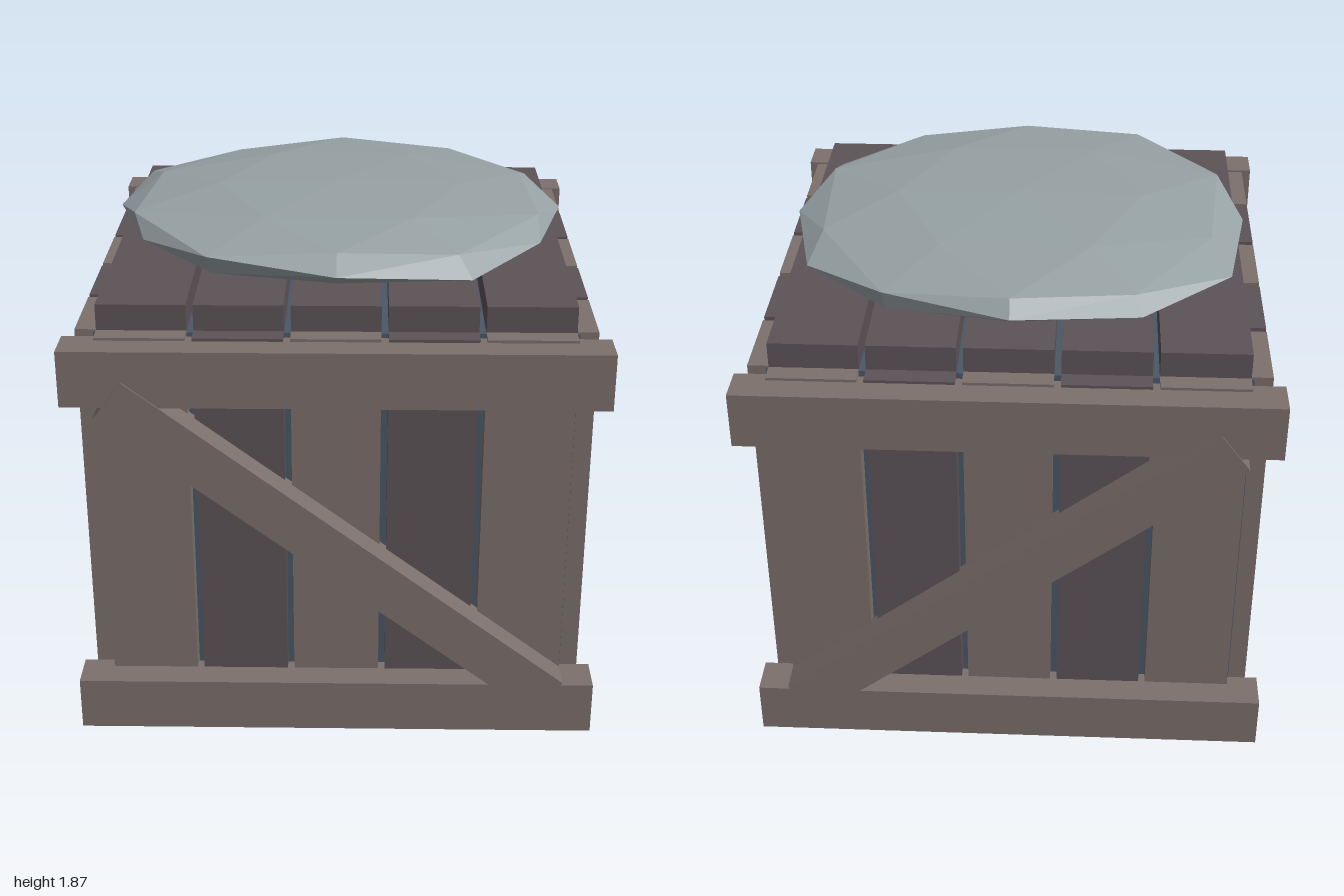
import * as THREE from 'three';

const material = (color, flatShading = false) => new THREE.MeshStandardMaterial({ color, flatShading });
const lightWood = material(0x7c706c);
const darkWood = material(0x5d5358);
const coreBlue = material(0x4a5866);
const stoneGrey = material(0x97a2a5, true);

// Box given by its lower and upper corner
function box(name, mat, [x0, y0, z0], [x1, y1, z1]) {
  const mesh = new THREE.Mesh(new THREE.BoxGeometry(x1 - x0, y1 - y0, z1 - z0), mat);
  mesh.position.set((x0 + x1) / 2, (y0 + y1) / 2, (z0 + z1) / 2);
  mesh.name = name;
  return mesh;
}

// Slightly lumpy, flattened stone slab
function stoneSlab() {
  const geo = new THREE.IcosahedronGeometry(1, 1);
  // Direction and radius factor of the uneven corners
  const bumps = [
    [1, 0, 0, 1], [-1, 0, 0, 1], [0, 0, 1, 1.01], [0, 0, -1, 1],
    [0, 1, 0, 1], [0, -1, 0, 1],
    [0.85, 0, 0.53, 1.02], [0.85, 0, -0.53, 1.04], [-0.85, 0, 0.53, 0.99], [-0.85, 0, -0.53, 1.08],
    [0, 0.53, 0.85, 1.05], [0, 0.53, -0.85, 1.11],
    [0.5, 0.31, 0.81, 1.01], [0.5, -0.31, 0.81, 1.12], [-0.5, 0.31, 0.81, 1.08],
    [0.5, 0.31, -0.81, 1.06], [-0.5, 0.31, -0.81, 1.02], [-0.5, -0.31, -0.81, 1.08],
    [0.81, 0.5, 0.31, 1.08], [-0.81, 0.5, 0.31, 1.11],
  ].map(([x, y, z, f]) => ({ dir: new THREE.Vector3(x, y, z), f }));
  const pos = geo.attributes.position;
  const v = new THREE.Vector3();
  for (let i = 0; i < pos.count; i++) {
    v.fromBufferAttribute(pos, i);
    const bump = bumps.find((b) => b.dir.distanceTo(v) < 0.05);
    const f = bump ? bump.f : 1.04;
    pos.setXYZ(i, v.x * 0.83 * f, v.y * 0.102 * f, v.z * 0.79 * f);
  }
  geo.computeVertexNormals();
  const mesh = new THREE.Mesh(geo, stoneGrey);
  mesh.position.y = 1.768;
  mesh.name = 'stoneSlab';
  return mesh;
}

export function createModel() {
  const crate = new THREE.Group();
  crate.name = 'crate';
  crate.add(box('core', coreBlue, [-0.828, 0, -0.828], [0.828, 1.58, 0.828]));

  // Five boards on each wall and on the lid
  for (let i = 0; i < 5; i++) {
    const c = (i - 2) * 0.332;
    const a = c - 0.154;
    const b = c + 0.154;
    const wood = i % 2 ? darkWood : lightWood;
    crate.add(
      box('frontPlank', wood, [a, 0.035, 0.82], [b, 1.585, 0.895]),
      box('backPlank', wood, [a, 0.035, -0.895], [b, 1.585, -0.82]),
      box('leftPlank', wood, [0.82, 0.035, a], [0.893, 1.585, b]),
      box('rightPlank', wood, [-0.893, 0.035, a], [-0.82, 1.585, b]),
      box('lidPlank', darkWood, [a, 1.58, -0.825], [b, 1.678, 0.825]),
    );
  }

  // Battens and diagonal brace on front and back
  for (const side of [1, -1]) {
    const frame = new THREE.Group();
    frame.name = side > 0 ? 'frontFrame' : 'backFrame';
    for (const [name, y0, y1] of [['lowerBatten', 0.08, 0.277], ['upperBatten', 1.372, 1.575]]) {
      const z = [side * 0.855, side * 0.995].sort((p, q) => p - q);
      frame.add(box(name, lightWood, [-0.932, y0, z[0]], [0.932, y1, z[1]]));
    }
    const brace = new THREE.Mesh(new THREE.BoxGeometry(1.935, 0.17, 0.128), lightWood);
    brace.position.set(0, 0.81, side * 0.936);
    brace.rotation.z = -0.652;
    brace.name = 'diagonalBrace';
    frame.add(brace);
    crate.add(frame);
  }

  crate.add(stoneSlab());
  return crate;
}
